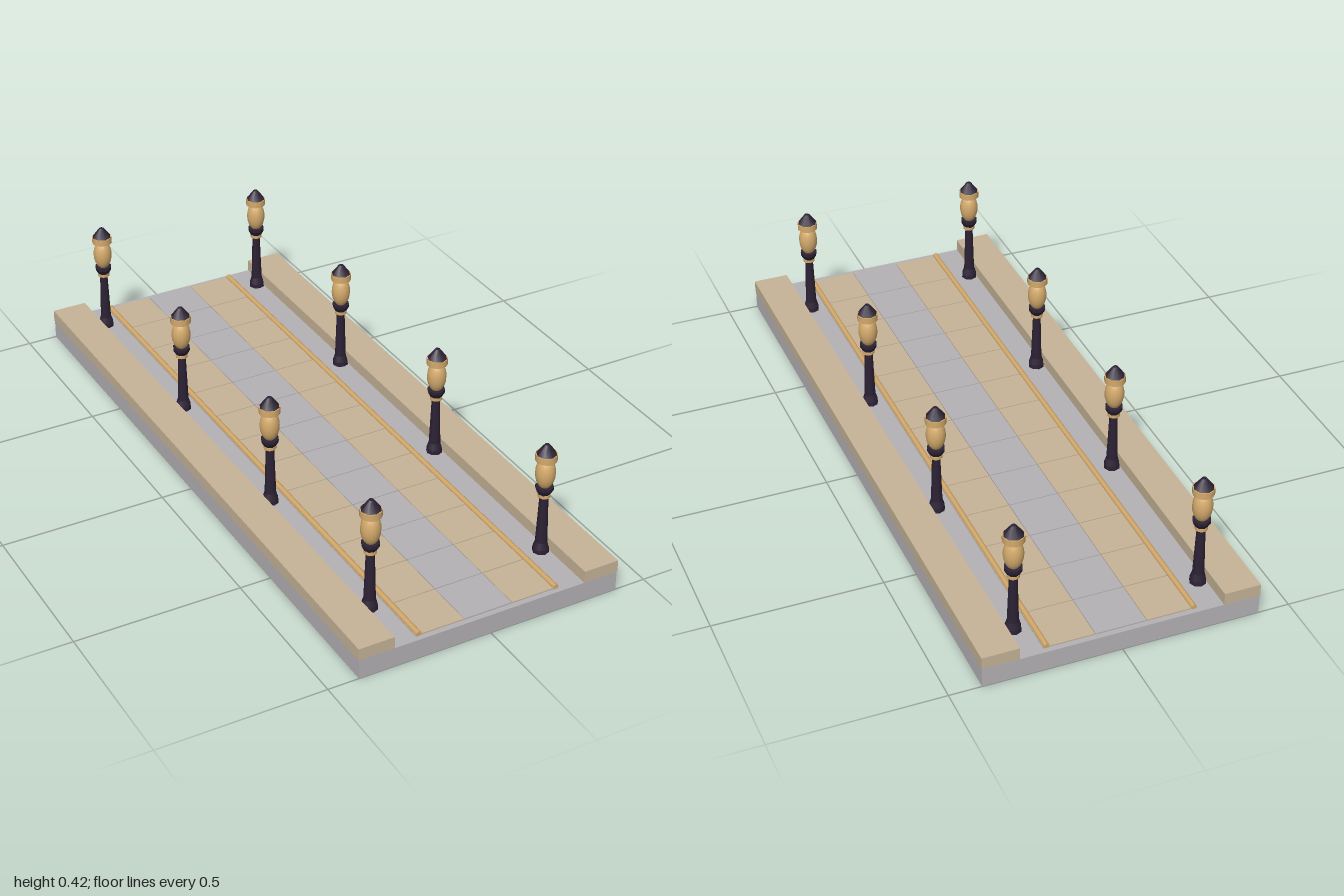
import * as THREE from 'three';

const mat = (name, color) => {
  const m = new THREE.MeshStandardMaterial({ color });
  m.name = name;
  return m;
};

export function createModel() {
  const stone = mat('grey stone', 0xb5b2b6);
  const sand = mat('sandstone', 0xc6b498);
  const gold = mat('warm gold', 0xd4aa6c);
  const iron = mat('dark iron', 0x2c2235);
  const root = new THREE.Group();
  root.name = 'lampWalkway';
  const road = new THREE.Group();
  road.position.x = -0.001;
  root.add(road);

  const add = (parent, name, geometry, material, x = 0, y = 0, z = 0) => {
    const mesh = new THREE.Mesh(geometry, material);
    mesh.name = name;
    mesh.position.set(x, y, z);
    parent.add(mesh);
    return mesh;
  };

  // Foundation slab and raised kerbs
  add(road, 'slab', new THREE.BoxGeometry(0.812, 0.06, 2), stone, 0, 0.03);
  for (const s of [-1, 1]) {
    add(road, 'kerb', new THREE.BoxGeometry(0.109, 0.037, 2), sand, s * 0.3535, 0.0785);
    // Slim rounded rail along the edge of the paving
    const rail = add(road, 'edgeRail', new THREE.CylinderGeometry(0.0085, 0.0085, 1.97, 8), gold, s * 0.216, 0.065);
    rail.rotation.x = Math.PI / 2;
  }

  // Three columns of thin paving tiles: sand, grey, sand
  const rows = 13, pitch = 1.97 / rows;
  const tile = new THREE.BoxGeometry(0.149, 0.004, pitch - 0.003);
  for (let r = 0; r < rows; r++) {
    for (let c = -1; c <= 1; c++) {
      add(road, 'pavingTile', tile, c === 0 ? stone : sand, c * 0.151, 0.062, (r - (rows - 1) / 2) * pitch);
    }
  }

  // Lamp parts: top radius, bottom radius, bottom y, top y
  const drum = (rt, rb, y0, y1, sides = 8) =>
    new THREE.CylinderGeometry(rt, rb, y1 - y0, sides).translate(0, (y0 + y1) / 2, 0);
  const parts = [
    ['lampFoot', drum(0.0235, 0.0245, 0.065, 0.078), iron],
    ['lampFlare', drum(0.0175, 0.0235, 0.078, 0.098), iron],
    ['lampPost', drum(0.0125, 0.0175, 0.098, 0.25), iron],
    ['lampCollar', drum(0.018, 0.018, 0.248, 0.258, 12), gold],
    ['lampCup', drum(0.026, 0.0175, 0.258, 0.273), iron],
    ['lampCupRim', drum(0.0265, 0.026, 0.273, 0.282), iron],
    ['lampGlobe', new THREE.SphereGeometry(0.0285, 16, 12).scale(1, 1.75, 1).translate(0, 0.325, 0), gold],
    ['lampRing', drum(0.031, 0.031, 0.367, 0.387, 12), gold],
    ['lampCap', drum(0.007, 0.029, 0.387, 0.417), iron],
  ];

  // Four lamps on each side
  for (const s of [-1, 1]) {
    for (let i = 0; i < 4; i++) {
      const lamp = new THREE.Group();
      lamp.name = 'lamp';
      lamp.position.set(s * 0.2735, 0, 0.822 - i * 0.57);
      for (const [name, geometry, material] of parts) add(lamp, name, geometry, material);
      road.add(lamp);
    }
  }
  return root;
}
